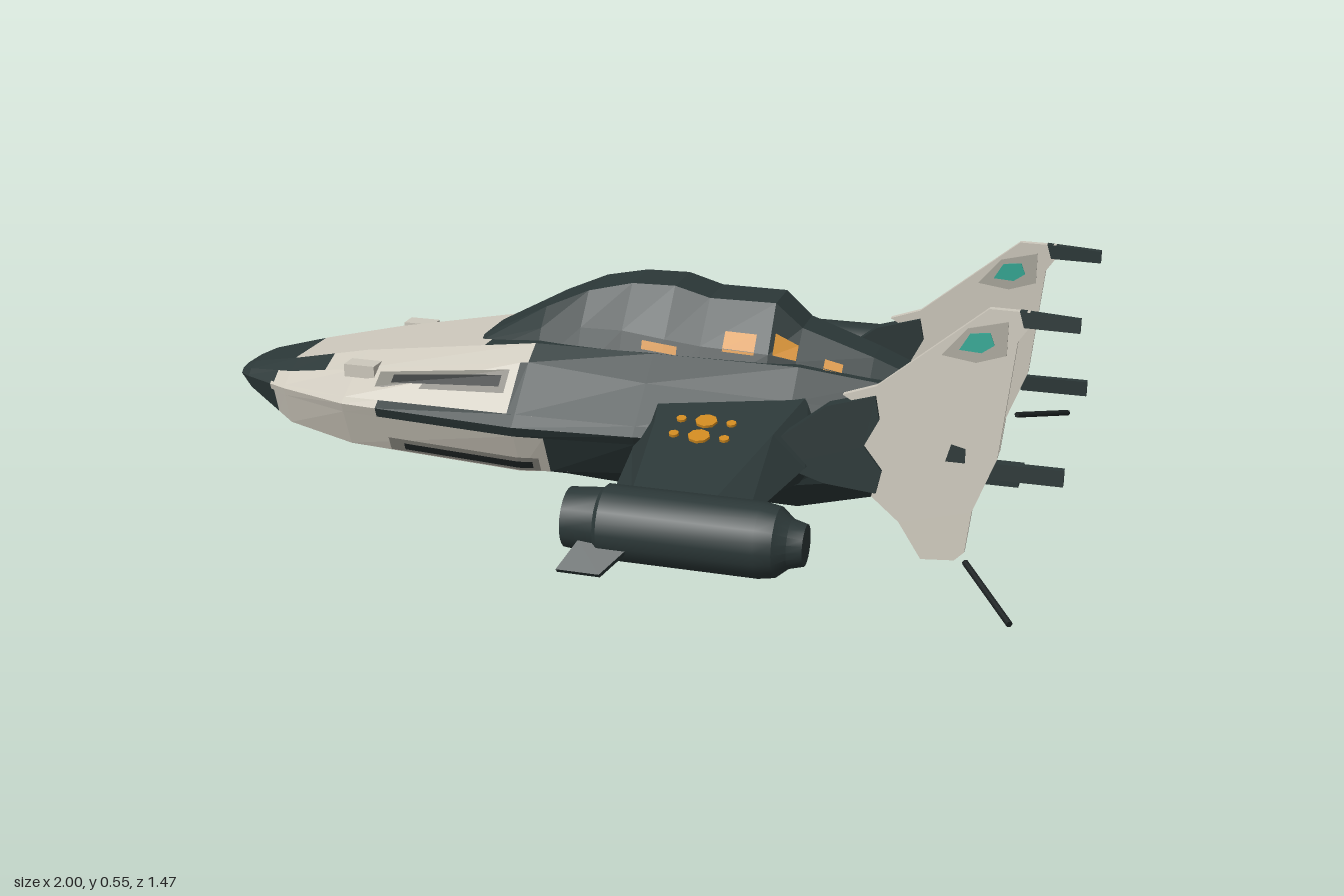
import * as THREE from 'three';
import { toCreasedNormals } from 'three/addons/utils/BufferGeometryUtils.js';

const paint = (name, color) => {
  const m = new THREE.MeshStandardMaterial({ color, side: THREE.DoubleSide });
  m.name = name;
  return m;
};

// Half cross-sections along the ship: x, then z,y pairs from deck edge to keel edge
const HULL = [
  [-1.0, 0, .175, 0, .175, 0, .17, 0, .165, 0, .165],
  [-.995, .035, .185, .06, .18, .07, .17, .06, .16, .03, .155],
  [-.96, .055, .2, .085, .19, .1, .175, .09, .145, .05, .135],
  [-.83, .085, .23, .13, .21, .17, .18, .14, .085, .09, .06],
  [-.64, .1, .272, .165, .245, .255, .19, .21, .078, .13, .053],
  [-.2, .15, .345, .2, .315, .316, .2, .26, .078, .15, .042],
  [.08, .16, .35, .22, .3, .32, .21, .25, .1, .12, .015],
  [.4, .13, .34, .19, .28, .25, .2, .2, .09, .1, .002],
  [.58, .1, .31, .14, .26, .165, .2, .14, .1, .09, .045],
  [.78, .06, .245, .085, .225, .1, .2, .095, .12, .07, .09],
  [.785, 0, .17, 0, .17, 0, .17, 0, .17, 0, .17],
];
const SPINE = [
  [-.36, .06, .325, .08, .315, .1, .29],
  [-.2, .075, .41, .115, .37, .16, .29],
  [-.1, .07, .455, .13, .385, .18, .28],
  [0, .06, .478, .14, .39, .185, .28],
  [.1, .06, .48, .145, .38, .185, .28],
  [.18, .058, .458, .14, .37, .18, .27],
  [.33, .055, .458, .125, .36, .165, .25],
  [.39, .05, .405, .11, .345, .15, .24],
  [.55, .045, .35, .09, .31, .12, .22],
  [.8, .035, .25, .06, .23, .075, .2],
];

// Point on a skin: x along the ship, t counted across the section corners
function skinPoint(st, x, t, side, lift) {
  let k = 0;
  while (k < st.length - 2 && x > st[k + 1][0]) k++;
  const f = (x - st[k][0]) / (st[k + 1][0] - st[k][0]);
  const s = st[k].map((v, i) => v + (st[k + 1][i] - v) * f);
  const pts = [[0, s[2]]];
  for (let i = 1; i < s.length; i += 2) pts.push([s[i], s[i + 1]]);
  pts.push([0, s[s.length - 1]]);
  const j = Math.min(Math.floor(t), pts.length - 2), u = t - j;
  const [a, b] = [pts[j], pts[j + 1]];
  const dz = b[0] - a[0], dy = b[1] - a[1], l = Math.hypot(dz, dy) || 1;
  return [x, a[1] + dy * u + lift * dz / l, side * (a[0] + dz * u - lift * dy / l)];
}

// Facetted piece of a skin between two x positions and two section positions
function skin(st, x0, x1, t0, t1, side, lift = 0) {
  const xs = [x0, ...st.map(s => s[0]).filter(x => x > x0 && x < x1), x1];
  const ts = [t0];
  for (let t = Math.floor(t0) + 1; t < t1; t++) ts.push(t);
  ts.push(t1);
  const pos = [];
  for (let i = 0; i < xs.length - 1; i++) for (let j = 0; j < ts.length - 1; j++) {
    // Sample just inside each facet so a lifted patch stays parallel to it
    const p = (a, b) => skinPoint(st, xs[i + a], b ? ts[j + 1] - 1e-5 : ts[j], side, lift);
    const [a, b, c, d] = [p(0, 0), p(0, 1), p(1, 1), p(1, 0)];
    pos.push(...(side > 0 ? [a, b, d, b, c, d] : [a, d, b, b, d, c]).flat());
  }
  const g = new THREE.BufferGeometry();
  g.setAttribute('position', new THREE.Float32BufferAttribute(pos, 3));
  g.computeVertexNormals();
  return g;
}

// Open facetted tube through equal rings of points
function loft(rings) {
  const pos = [], n = rings[0].length;
  for (let i = 0; i < rings.length - 1; i++) for (let j = 0; j < n; j++) {
    const a = rings[i][j], b = rings[i][(j + 1) % n], c = rings[i + 1][(j + 1) % n], d = rings[i + 1][j];
    pos.push(...a, ...d, ...b, ...b, ...d, ...c);
  }
  const g = new THREE.BufferGeometry();
  g.setAttribute('position', new THREE.Float32BufferAttribute(pos, 3));
  g.computeVertexNormals();
  return g;
}

// Upright plate in the leaning plane of a tail fin, from depth d0 to d1
function finPlate(points, d0, d1) {
  const shape = new THREE.Shape(points.map(p => new THREE.Vector2(...p)));
  const g = new THREE.ExtrudeGeometry(shape, { depth: d1 - d0, bevelEnabled: false });
  const p = g.attributes.position;
  for (let i = 0; i < p.count; i++) p.setZ(i, p.getZ(i) + d0 + .303 - .05 * p.getY(i));
  g.computeVertexNormals();
  return g;
}

export function createModel() {
  const root = new THREE.Group();
  root.name = 'spacecraft';
  const dark = paint('dark hull', 0x2c3838), light = paint('pale panel', 0xcdc8bc);
  const orange = paint('orange marking', 0xd08a20), teal = paint('teal glow', 0x35a794);
  const grey = paint('grey recess', 0x85837b), black = paint('black recess', 0x1c2222);
  const add = (parent, name, geo, mat) => {
    const m = new THREE.Mesh(geo, mat);
    m.name = name;
    parent.add(m);
    return m;
  };

  // Painted strips of the hull: section start, section end, end of dark nose, end of pale panel
  const strips = [[0, 1, -.84, -.33], [1, 2, -.73, -.2], [2, 2.8, -.87, -.22], [3.2, 4, -.87, -.13], [4, 6, -.83, -.13]];
  for (const side of [1, -1]) {
    for (const [t0, t1, a, b] of strips) {
      add(root, 'noseTip', skin(HULL, -1, a, t0, t1, side), dark);
      add(root, 'forwardPanel', skin(HULL, a, b, t0, t1, side), light);
      add(root, 'aftHull', skin(HULL, b, .785, t0, t1, side), dark);
    }
    add(root, 'noseSide', skin(HULL, -1, -.88, 2.8, 3.2, side), dark);
    add(root, 'sidePanel', skin(HULL, -.88, -.55, 2.8, 3.2, side), light);
    add(root, 'sideStripe', skin(HULL, -.55, .785, 2.8, 3.2, side), dark);
    add(root, 'spine', skin(SPINE, -.36, .8, 0, 3, side), dark);

    // Long vents above and below the side edge
    for (const [x0, x1, t0, t1] of [[-.57, -.24, 2.12, 2.5], [-.53, -.15, 3.66, 3.95]]) {
      const m = (t1 - t0) * .25;
      add(root, 'ventFrame', skin(HULL, x0, x1, t0, t1, side, .004), grey);
      add(root, 'ventSlot', skin(HULL, x0 + .04, x1 - .015, t0 + m, t1 - m, side, .007), black);
    }
    add(root, 'ventCover', new THREE.BoxGeometry(.075, .03, .045).translate(-.62, .25, side * .172), light);

    // Orange markings on the spine
    add(root, 'shoulderMark', skin(SPINE, .05, .13, 2.1, 2.28, side, .004), orange);
    add(root, 'rearMark', skin(SPINE, .45, .49, 1.7, 2.1, side, .004), orange);
    add(root, 'tailMark', skin(SPINE, .71, .77, 0, .75, side, .004), orange);
  }
  add(root, 'spineMark', skin(SPINE, .23, .3, 1.65, 2.05, 1, .004), orange);
  add(root, 'spineMark', skin(SPINE, .34, .39, 1.55, 2.0, 1, .004), orange);

  // Main exhaust with its lower lip
  add(root, 'exhaustTop', new THREE.BoxGeometry(.1, .03, .17).translate(.755, .19, 0), dark);
  add(root, 'exhaustGlow', new THREE.BoxGeometry(.006, .05, .14).translate(.79, .15, 0), teal);
  add(root, 'exhaustLip', new THREE.BoxGeometry(.16, .014, .12).translate(.8, .095, 0), dark);

  const podProfile = [[0, .09], [.05, .09], [.053, .045], [.062, .04], [.068, .11], [.077, .12], [.077, .44],
    [.071, .475], [.05, .5], [.042, .53], [0, .53]].map(p => new THREE.Vector2(...p));
  const finOutline = [[.53, .345], [.6, .37], [.82, .553], [.9, .552], [.9, .52], [.88, .49], [.855, .24],
    [.81, .12], [.8, .03], [.78, .01], [.71, .004], [.66, .08], [.6, .13], [.61, .19], [.56, .24], [.61, .3]];

  for (const side of [1, -1]) {
    const half = new THREE.Group();
    half.name = side > 0 ? 'frontSideWing' : 'backSideWing';
    half.scale.z = side;
    root.add(half);

    // Wing: six-sided section tapering to the pod
    const wing = [[.16, .05, .5, .29, .09], [.32, .08, .46, .25, .115], [.58, .11, .4, .195, .13]].map(([z, a, b, t, u]) => {
      const m = (t + u) / 2;
      return [[a, m, z], [a + .05, t, z], [b - .07, t, z], [b, m, z], [b - .07, u, z], [a + .05, u, z]];
    });
    add(half, 'wing', loft(wing.map(r => r.reverse())), dark);

    // Orange dots on the wing
    for (const z of [.3, .36]) for (const [x, r] of [[.185, .011], [.24, .024], [.295, .011]]) {
      const dot = add(half, 'wingDot', new THREE.CylinderGeometry(r, r, .008, 8), orange);
      dot.position.set(x, .252 - (z - .32) * .21, z);
      dot.rotation.x = .21;
    }

    // Wing-tip pod
    const pod = new THREE.Group();
    pod.name = 'pod';
    pod.position.set(0, .142, .62);
    half.add(pod);
    add(pod, 'podShell', toCreasedNormals(new THREE.LatheGeometry(podProfile, 20).rotateZ(-Math.PI / 2), .5), dark);
    add(pod, 'podGlow', new THREE.CircleGeometry(.052, 20).rotateY(-Math.PI / 2).translate(.055, 0, 0), teal);
    const podFin = new THREE.Shape([[.08, 0], [.19, 0], [.14, .07], [.05, .07]].map(p => new THREE.Vector2(...p)));
    const blade = add(pod, 'podFin', new THREE.ExtrudeGeometry(podFin, { depth: .012, bevelEnabled: false }), dark);
    blade.position.set(0, -.02, .06);
    blade.rotation.x = Math.PI - .85;

    // Tail fin with strake, tip and painted plates
    add(half, 'tailFin', finPlate(finOutline, -.008, .008), light);
    add(half, 'strake', finPlate([[.4, .24], [.5, .32], [.6, .35], [.61, .3], [.58, .24], [.62, .19], [.61, .14], [.5, .15], [.4, .18]], -.016, .016), dark);
    add(half, 'finTip', finPlate([[.88, .553], [1, .545], [1, .518], [.89, .52]], -.009, .009), dark);
    add(half, 'tailBar', finPlate([[.84, .195], [.99, .195], [.99, .23], [.84, .23]], -.008, .008), dark);
    if (side > 0) {
      add(half, 'innerFinPaint', finPlate([[.6, .35], [.8, .52], [.86, .5], [.84, .24], [.8, .12], [.79, .03], [.72, .02], [.63, .14]], -.011, -.007), dark);
    }
    const faces = side > 0 ? [[.008, .011], [-.014, -.01]] : [[-.011, -.008]];
    for (const [a, b] of faces) {
      const out = a > 0 ? 1 : -1, top = out > 0 ? b : a;
      if (out > 0 || side < 0) {
        add(half, 'finPatch', finPlate([[.73, .45], [.78, .51], [.86, .53], [.86, .46], [.8, .44]], a, b), grey.clone ? greyPatch : grey);
      }
      add(half, 'finLight', finPlate([[.765, .465], [.785, .5], [.825, .505], [.835, .48], [.81, .462]], Math.min(top, top + out * .003), Math.max(top, top + out * .003)), teal);
    }
    add(half, 'finHatch', finPlate([[.75, .225], [.76, .262], [.79, .255], [.79, .225]], .008, .011), dark);

    // Trailing rod
    const a = new THREE.Vector3(.82, .073, .455), b = new THREE.Vector3(.93, .032, .625);
    const rod = add(half, 'trailingRod', new THREE.CylinderGeometry(.007, .007, a.distanceTo(b), 6), black);
    rod.position.copy(a).lerp(b, .5);
    rod.quaternion.setFromUnitVectors(new THREE.Vector3(0, 1, 0), b.clone().sub(a).normalize());
  }
  return root;
}

// Muted tone behind the fin lights
const greyPatch = paint('muted panel', 0xaaa79c);
